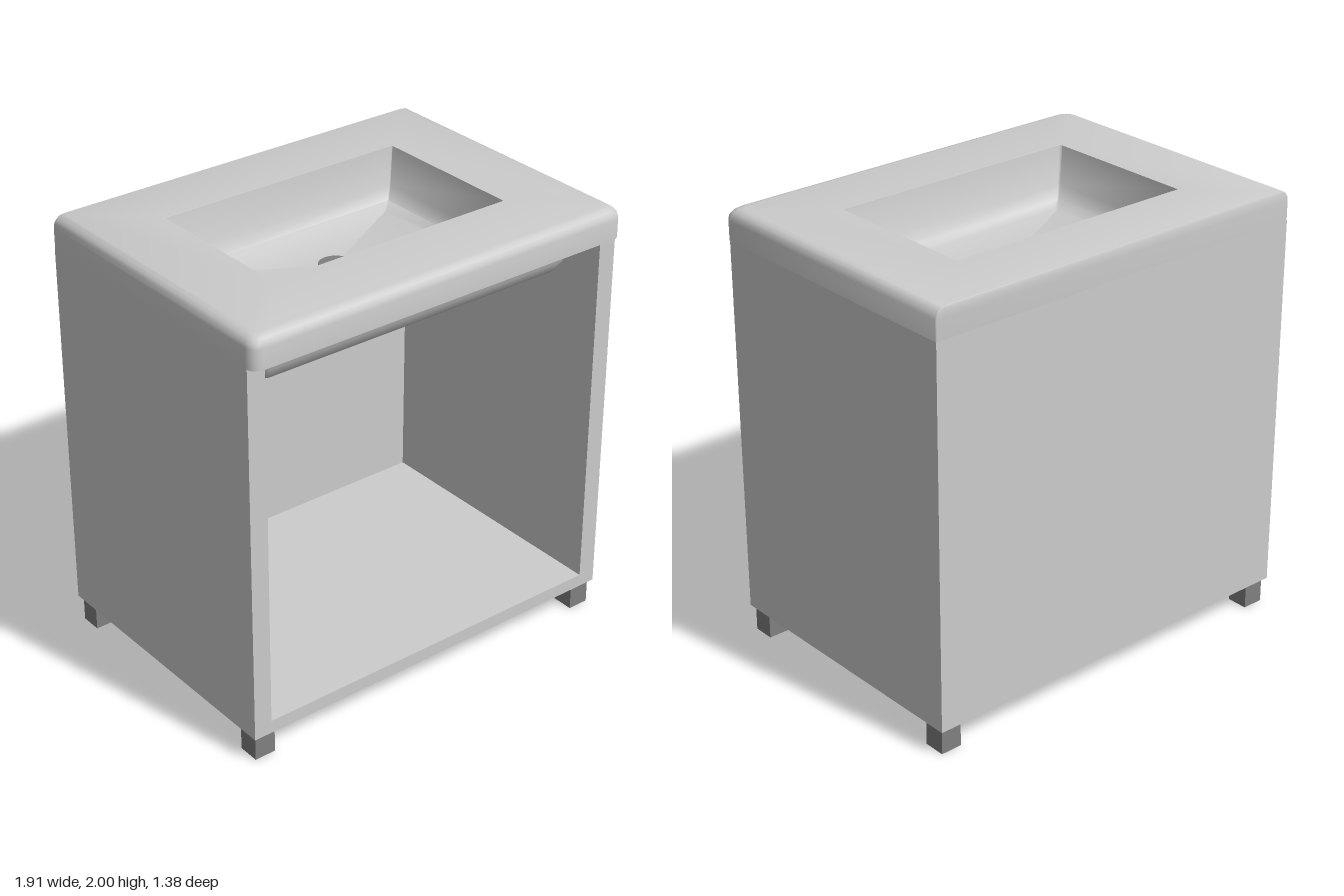
import * as THREE from 'three';
import { toCreasedNormals } from 'three/addons/utils/BufferGeometryUtils.js';

const CORNER = 5; // points per rounded corner

// Rounded rectangle in plan at height y; front corners use rf, back corners rb
function ring(y, hw, zb, zf, rf = 0.01, rb = 0.004) {
  const corners = [[1, 1, rf], [-1, 1, rf], [-1, -1, rb], [1, -1, rb]];
  const pts = [];
  corners.forEach(([sx, sz, r], k) => {
    const cx = sx * (hw - r), cz = sz > 0 ? zf - r : zb + r;
    for (let i = 0; i < CORNER; i++) {
      const a = (k + i / (CORNER - 1)) * Math.PI / 2;
      pts.push([cx + r * Math.cos(a), y, cz + r * Math.sin(a)]);
    }
  });
  return pts;
}

// Skin a stack of rings and close both ends with fans
function loft(rings) {
  const n = rings[0].length, pos = rings.flat(2), idx = [];
  for (let i = 0; i < rings.length - 1; i++) {
    for (let j = 0; j < n; j++) {
      const a = i * n + j, b = i * n + (j + 1) % n, c = a + n, d = b + n;
      idx.push(a, c, b, b, c, d);
    }
  }
  const last = (rings.length - 1) * n, c0 = rings.length * n, c1 = c0 + 1;
  pos.push(0, rings[0][0][1], -0.03, 0, rings[rings.length - 1][0][1], -0.03);
  for (let j = 0; j < n; j++) {
    const k = (j + 1) % n;
    idx.push(c0, j, k, c1, last + k, last + j);
  }
  const g = new THREE.BufferGeometry();
  g.setAttribute('position', new THREE.Float32BufferAttribute(pos, 3));
  g.setIndex(idx);
  return toCreasedNormals(g, 0.8);
}

export function createModel() {
  const model = new THREE.Group();
  const paleGrey = new THREE.MeshStandardMaterial({ color: 0xcccccc });
  paleGrey.name = 'paleGrey';
  const darkGrey = new THREE.MeshStandardMaterial({ color: 0x808080 });
  darkGrey.name = 'darkGrey';

  const add = (name, geometry, material) => {
    const mesh = new THREE.Mesh(geometry, material);
    mesh.name = name;
    model.add(mesh);
    return mesh;
  };
  const box = (name, x0, x1, y0, y1, z0, z1, material) =>
    add(name, new THREE.BoxGeometry(x1 - x0, y1 - y0, z1 - z0), material)
      .position.set((x0 + x1) / 2, (y0 + y1) / 2, (z0 + z1) / 2);

  // Open-fronted cabinet
  box('cabinetFloor', -0.87, 0.87, 0.12, 0.18, -0.69, 0.65, paleGrey);
  box('cabinetBack', -0.87, 0.87, 0.18, 1.86, -0.69, -0.605, paleGrey);
  box('cabinetLeftSide', 0.87, 0.955, 0.12, 1.86, -0.69, 0.65, paleGrey);
  box('cabinetRightSide', -0.955, -0.87, 0.12, 1.86, -0.69, 0.65, paleGrey);

  // Square feet
  for (const x of [-0.89, 0.89]) {
    for (const z of [0.58, -0.62]) {
      box('foot', x - 0.05, x + 0.05, 0, 0.12, z - 0.05, z + 0.05, darkGrey);
    }
  }

  // Washbasin: underside, rounded rim, flat deck, then the bowl
  const rings = [
    ring(1.66, 0.73, -0.5, 0.45, 0.04, 0.04),
    ring(1.69, 0.775, -0.55, 0.5, 0.04, 0.04),
    ring(1.74, 0.80, -0.57, 0.53, 0.04, 0.04),
    ring(1.86, 0.84, -0.6, 0.56, 0.04, 0.04),
    ring(1.86, 0.955, -0.69, 0.69, 0.05),
  ];
  const R = 0.05;
  for (let i = 0; i <= 4; i++) {
    const a = i / 4 * Math.PI / 2, inset = R * (1 - Math.cos(a));
    rings.push(ring(2 - R + R * Math.sin(a), 0.955 - inset, -0.69, 0.69 - inset, 0.05));
  }
  rings.push(
    ring(2, 0.6, -0.39, 0.34),
    ring(1.83, 0.575, -0.37, 0.32),
    ring(1.77, 0.545, -0.345, 0.295),
    ring(1.745, 0.5, -0.31, 0.26),
  );
  add('washbasin', loft(rings), paleGrey);

  // Drain disc
  add('drain', new THREE.CylinderGeometry(0.075, 0.075, 0.008, 32), darkGrey)
    .position.set(0, 1.748, -0.025);

  return model;
}
